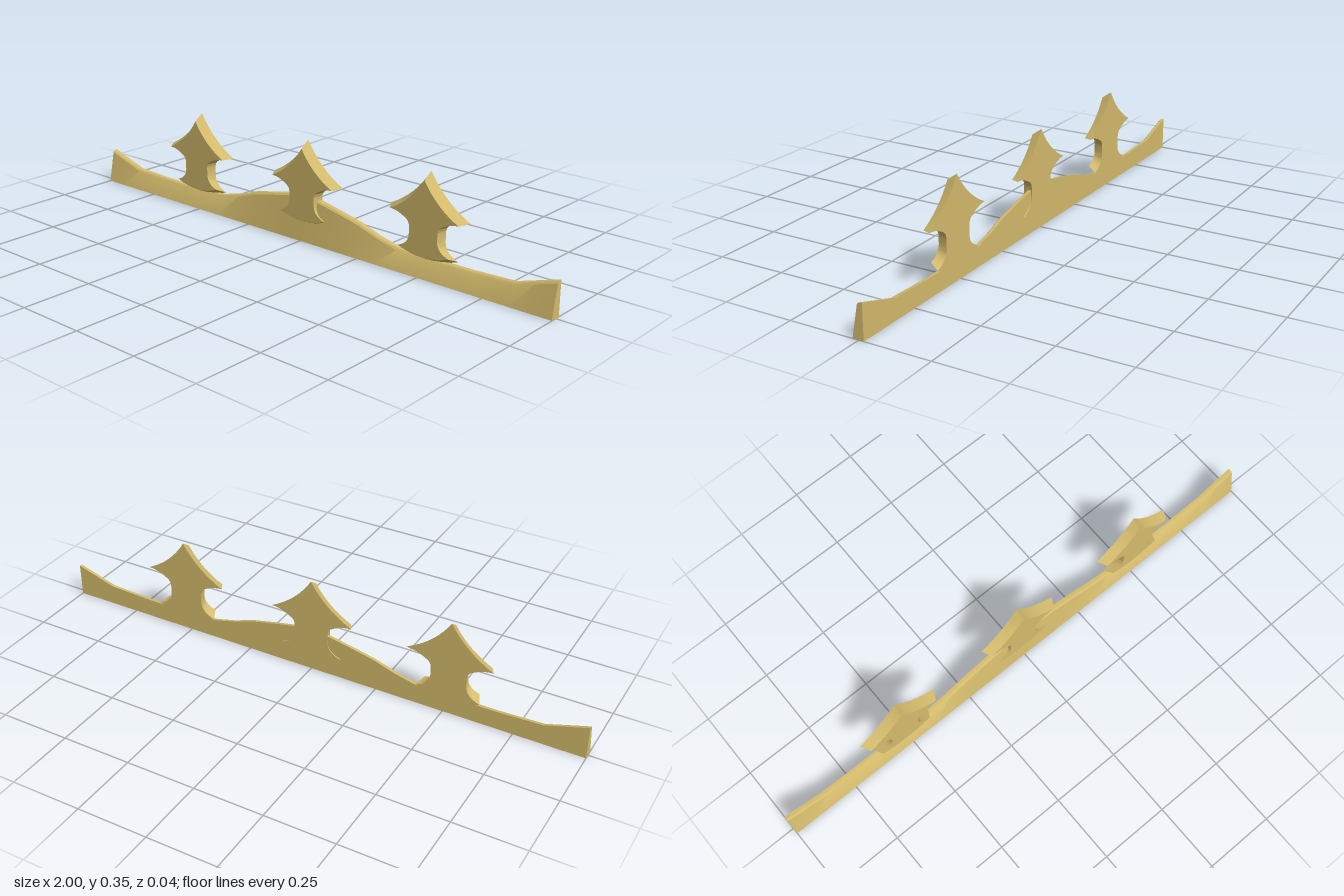
import * as THREE from 'three';
import { toCreasedNormals } from 'three/addons/utils/BufferGeometryUtils.js';

// Wavy rail: a wedge-shaped cross-section lofted along x with varying height
function railGeometry() {
  const half = [[0, 0.16], [0.07, 0.153], [0.15, 0.137], [0.24, 0.117], [0.32, 0.09], [0.4, 0.071],
    [0.52, 0.067], [0.7, 0.068], [0.85, 0.074], [0.92, 0.096], [1, 0.121]];
  const stations = [...half.slice(1).reverse().map(([x, h]) => [-x, h]), ...half];
  const section = (h) => [[0.022, 0], [0, h - 0.008], [-0.005, h - 0.002], [-0.012, h], [-0.018, h], [-0.018, 0]];
  const pos = [];
  const tri = (a, b, c) => pos.push(...a, ...b, ...c);
  const rings = stations.map(([x, h]) => section(h).map(([z, y]) => [x, y, z]));
  const n = 6;
  for (let i = 0; i < rings.length - 1; i++) {
    for (let j = 0; j < n; j++) {
      const k = (j + 1) % n;
      const a = rings[i][j], b = rings[i + 1][j], c = rings[i + 1][k], d = rings[i][k];
      tri(a, b, c);
      tri(a, c, d);
    }
  }
  // End caps
  const first = rings[0], last = rings[rings.length - 1];
  for (let j = 1; j < n - 1; j++) {
    tri(first[0], first[j], first[j + 1]);
    tri(last[0], last[j + 1], last[j]);
  }
  const geo = new THREE.BufferGeometry();
  geo.setAttribute('position', new THREE.Float32BufferAttribute(pos, 3));
  return toCreasedNormals(geo, 0.4);
}

// Arrow-shaped finial with curved roof, stem and flared foot; its front is smaller than its back
function finialGeometry() {
  const s = new THREE.Shape();
  s.moveTo(0, 0.355);
  s.quadraticCurveTo(-0.055, 0.264, -0.155, 0.214);
  s.quadraticCurveTo(-0.115, 0.214, -0.075, 0.187);
  s.quadraticCurveTo(-0.064, 0.178, -0.064, 0.16);
  s.lineTo(-0.064, 0.13);
  s.quadraticCurveTo(-0.066, 0.092, -0.115, 0.076);
  s.quadraticCurveTo(0, 0.03, 0.115, 0.076);
  s.quadraticCurveTo(0.066, 0.092, 0.064, 0.13);
  s.lineTo(0.064, 0.16);
  s.quadraticCurveTo(0.064, 0.178, 0.075, 0.187);
  s.quadraticCurveTo(0.115, 0.214, 0.155, 0.214);
  s.quadraticCurveTo(0.055, 0.264, 0, 0.355);
  const geo = new THREE.ExtrudeGeometry(s, { depth: 0.035, bevelEnabled: false, curveSegments: 8 });
  geo.translate(0, 0, -0.021);
  const p = geo.attributes.position;
  for (let i = 0; i < p.count; i++) {
    if (p.getZ(i) > 0) p.setXY(i, p.getX(i) * 0.87, 0.18 + (p.getY(i) - 0.18) * 0.86);
  }
  return toCreasedNormals(geo, 0.5);
}

export function createModel() {
  const gold = new THREE.MeshStandardMaterial({ color: 0xd4bb6c });
  gold.name = 'gold';
  const model = new THREE.Group();
  model.name = 'crestRail';

  const rail = new THREE.Mesh(railGeometry(), gold);
  rail.name = 'rail';
  model.add(rail);

  const finialGeo = finialGeometry();
  [['rightFinial', -0.515], ['centreFinial', 0], ['leftFinial', 0.515]].forEach(([name, x]) => {
    const finial = new THREE.Mesh(finialGeo, gold);
    finial.name = name;
    finial.position.x = x;
    model.add(finial);
  });
  return model;
}
